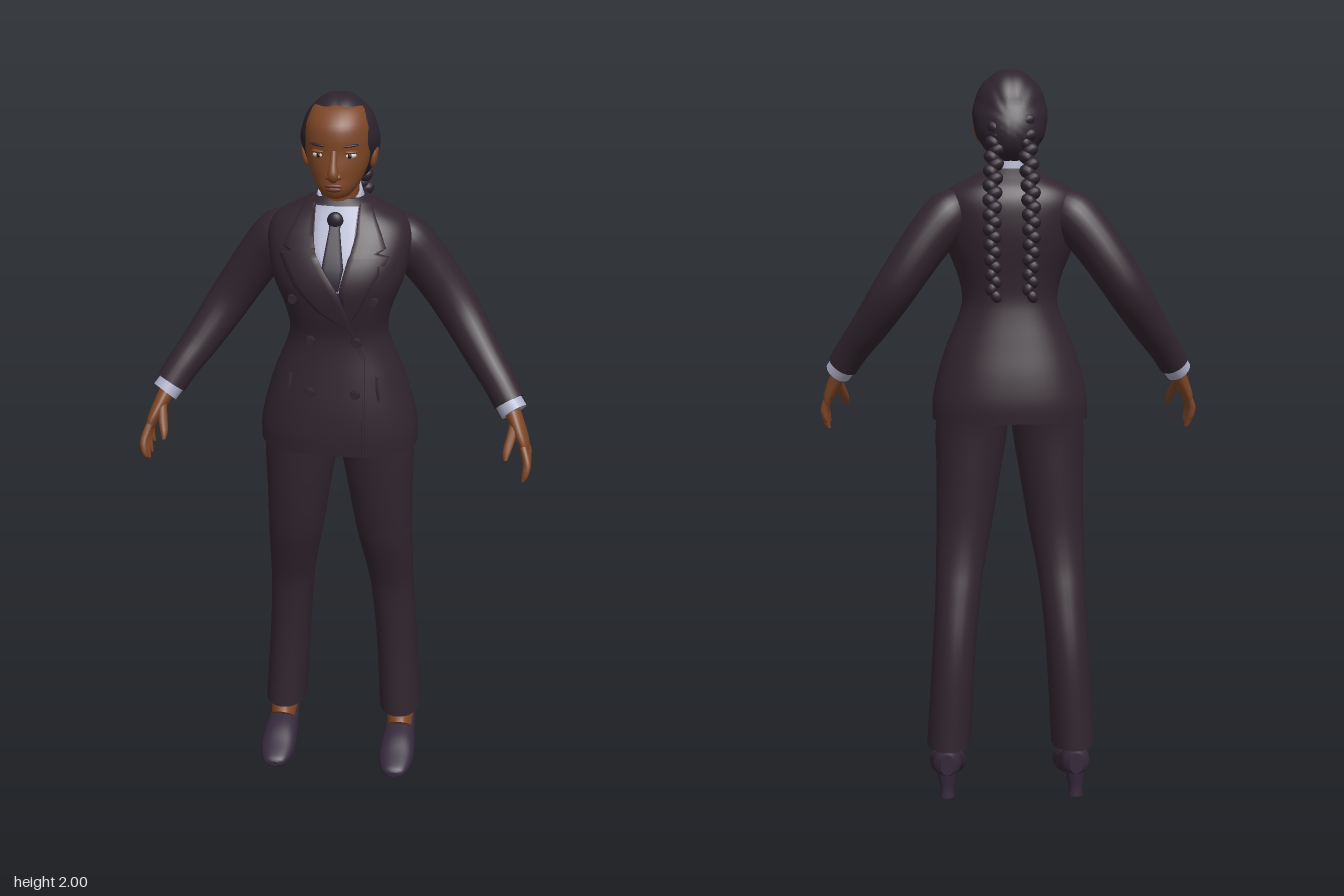
import * as THREE from 'three';

const mat = (name, color, side = THREE.FrontSide) =>
  Object.assign(new THREE.MeshStandardMaterial({ color, side }), { name });
const V = (x, y, z) => new THREE.Vector3(x, y, z);

// Catmull-Rom resampling of a table of section parameters
function smooth(rows, k = 5) {
  const out = [];
  for (let i = 0; i < rows.length - 1; i++) {
    const [a, b, c, d] = [-1, 0, 1, 2].map(o => rows[Math.min(Math.max(i + o, 0), rows.length - 1)]);
    for (let s = 0; s < k; s++) {
      const t = s / k;
      out.push(b.map((q, j) => q + 0.5 * t * (c[j] - a[j] + t * (2 * a[j] - 5 * q + 4 * c[j] - d[j]
        + t * (3 * (q - c[j]) + d[j] - a[j])))));
    }
  }
  out.push(rows[rows.length - 1]);
  return out;
}

// Closed skin through superellipse rings, each ring { c, u, v }
function loft(rings, p = 2, n = 28) {
  const pos = [], idx = [];
  const pw = q => Math.sign(q) * Math.abs(q) ** (2 / p);
  const ring = r => {
    for (let j = 0; j < n; j++) {
      const a = (j / n) * Math.PI * 2;
      pos.push(...r.c.clone().addScaledVector(r.u, pw(Math.cos(a))).addScaledVector(r.v, pw(Math.sin(a))).toArray());
    }
  };
  rings.forEach(ring);
  const last = rings[rings.length - 1];
  const ccw = rings[0].u.clone().cross(rings[0].v).dot(last.c.clone().sub(rings[0].c)) > 0;
  const tri = (a, b, c) => (ccw ? idx.push(a, b, c) : idx.push(a, c, b));
  for (let i = 0; i < rings.length - 1; i++) for (let j = 0; j < n; j++) {
    const a = i * n + j, b = i * n + (j + 1) % n;
    tri(a, b, a + n); tri(b, b + n, a + n);
  }
  [rings[0], last].forEach((r, e) => {
    const base = pos.length / 3;
    ring(r);
    pos.push(...r.c.toArray());
    for (let j = 0; j < n; j++) {
      const a = base + j, b = base + (j + 1) % n;
      e ? tri(a, b, base + n) : tri(b, a, base + n);
    }
  });
  const g = new THREE.BufferGeometry();
  g.setAttribute('position', new THREE.Float32BufferAttribute(pos, 3));
  g.setIndex(idx);
  g.computeVertexNormals();
  return g;
}

// Horizontal sections: [y, centre x, half width, front z, back z]
const level = rows => rows.map(([y, x, rx, f, b]) => ({ c: V(x, y, (f + b) / 2), u: V(rx, 0, 0), v: V(0, 0, (f - b) / 2) }));
// Sections square to their path: [x, y, z, radius, depth radius]
function limb(rows, n = 20) {
  const pts = rows.map(r => V(r[0], r[1], r[2]));
  return loft(rows.map((r, i) => {
    const t = pts[Math.min(i + 1, pts.length - 1)].clone().sub(pts[Math.max(i - 1, 0)]).normalize();
    const u = V(0, 0, 1).cross(t).normalize();
    return { c: pts[i], u: u.clone().multiplyScalar(r[3]), v: t.clone().cross(u).multiplyScalar(r[4] ?? r[3]) };
  }), 2, n);
}

// Jacket body sections, also used to lay details on the chest
const BODY_P = 2.3;
const body = smooth([
  [1.055, 0, .215, .148, -.138], [1.11, 0, .214, .152, -.142], [1.18, 0, .199, .15, -.135],
  [1.26, 0, .174, .141, -.12], [1.34, 0, .141, .132, -.106], [1.39, 0, .131, .132, -.102],
  [1.45, 0, .143, .146, -.109], [1.52, 0, .17, .156, -.121], [1.58, 0, .184, .144, -.128],
  [1.64, 0, .189, .112, -.127], [1.68, 0, .168, .086, -.113], [1.71, 0, .115, .066, -.09],
  [1.735, 0, .068, .045, -.068]]);
function frontZ(x, y) {
  let i = 0;
  while (i < body.length - 2 && body[i + 1][0] < y) i++;
  const t = Math.min(Math.max((y - body[i][0]) / (body[i + 1][0] - body[i][0]), 0), 1);
  const [, , rx, f, b] = body[i].map((q, j) => q + (body[i + 1][j] - q) * t);
  const k = Math.min(Math.abs(x) / rx, .97);
  return (f + b) / 2 + (f - b) / 2 * (1 - k ** BODY_P) ** (1 / BODY_P);
}
// Cloth sheet laid on the chest; rows from top to bottom: [y, x0, x1]
function patch(rows, off) {
  const pos = [], idx = [], m = 9, fine = [];
  for (let i = 0; i < rows.length - 1; i++) for (let k = 0; k < 5; k++)
    fine.push(rows[i].map((q, j) => q + (rows[i + 1][j] - q) * k / 5));
  fine.push(rows[rows.length - 1]);
  fine.forEach(([y, a, b], i) => {
    const [l, r] = a < b ? [a, b] : [b, a];
    for (let j = 0; j < m; j++) {
      const t = Math.min(Math.max((j - 1) / (m - 3), 0), 1), x = l + (r - l) * t;
      const edge = j === 0 || j === m - 1;
      pos.push(x, y, frontZ(x, y) + (edge ? -.002 : off));
      if (i && j) {
        const q = i * m + j;
        idx.push(q, q - m, q - 1, q - 1, q - m, q - m - 1);
      }
    }
  });
  const g = new THREE.BufferGeometry();
  g.setAttribute('position', new THREE.Float32BufferAttribute(pos, 3));
  g.setIndex(idx);
  g.computeVertexNormals();
  return g;
}

export function createModel() {
  const root = new THREE.Group();
  const suit = mat('suit', 0x31252e, THREE.DoubleSide), hairM = mat('hair', 0x2d232d);
  const skin = mat('skin', 0x7d4625), shirt = mat('shirt', 0xacaec6, THREE.DoubleSide);
  const tieM = mat('tie', 0x28212f, THREE.DoubleSide), shoeM = mat('shoe', 0x34283a);
  const white = mat('eyeWhite', 0xd0ccc8), dark = mat('iris', 0x21150f), lipM = mat('lips', 0x6b3426);
  const add = (name, geo, m) => {
    const o = new THREE.Mesh(geo, m);
    o.name = name;
    root.add(o);
    return o;
  };
  const blob = (name, m, c, s, seg = 16) => {
    const o = add(name, new THREE.SphereGeometry(1, seg, seg * .75), m);
    o.position.set(...c);
    o.scale.set(...s);
    return o;
  };

  // Head and neck
  add('head', loft(level(smooth([
    [1.748, 0, .022, .092, .03], [1.755, 0, .037, .108, .0], [1.775, 0, .053, .118, -.025],
    [1.80, 0, .067, .117, -.045], [1.83, 0, .078, .116, -.06], [1.865, 0, .085, .112, -.07],
    [1.90, 0, .087, .113, -.075], [1.935, 0, .082, .104, -.07], [1.97, 0, .062, .07, -.05],
    [1.985, 0, .02, .03, -.02]], 4))), skin);
  add('neck', limb([[0, 1.66, -.005, .052], [0, 1.74, .0, .05], [0, 1.81, .01, .054]]), skin);
  add('nose', limb(smooth([[0, 1.872, .106, .008], [0, 1.84, .12, .01], [0, 1.816, .126, .014],
    [0, 1.804, .118, .011]], 4), 14), skin);
  blob('upperLip', lipM, [0, 1.787, .115], [.024, .006, .007]);
  blob('lowerLip', lipM, [0, 1.778, .115], [.02, .007, .007]);

  // Braided hair cap, ridged from front to back and swept towards the nape
  const cap = new THREE.SphereGeometry(1, 72, 40), cp = cap.attributes.position;
  for (let i = 0; i < cp.count; i++) {
    const x = cp.getX(i), y = cp.getY(i), z = cp.getZ(i);
    const k = 1 + .018 * Math.abs(Math.sin(Math.atan2(x, y + .2) * 6)) * Math.min(1, 3 * Math.hypot(x, y));
    cp.setXYZ(i, x * k * .1, 1.877 + y * k * .121, .001 + z * k * .099 + (y < .2 ? (y - .2) * .045 : 0));
  }
  cap.computeVertexNormals();
  add('hairCap', cap, hairM);

  // Trunk of the jacket with shirt front and tie
  add('jacketBody', loft(level(body), BODY_P, 48), suit);
  add('shirtFront', patch([[1.72, -.055, .055], [1.62, -.05, .05], [1.52, .005, .02]], .003), shirt);
  add('tieBlade', patch([[1.70, -.016, .016], [1.67, -.014, .014], [1.58, -.026, .03], [1.525, .008, .018]], .007), tieM);
  blob('tieKnot', tieM, [0, 1.69, .085], [.021, .022, .014]);
  add('shirtCollar', loft([
    { c: V(0, 1.705, .004), u: V(.072, 0, 0), v: V(0, -.028, .066) },
    { c: V(0, 1.748, 0), u: V(.057, 0, 0), v: V(0, -.03, .057) }]), shirt);
  add('rightLapel', patch([[1.725, -.085, -.058], [1.66, -.118, -.056], [1.625, -.132, -.047], [1.615, -.112, -.045],
    [1.605, -.142, -.04], [1.53, -.098, .01], [1.47, -.04, .036], [1.42, .035, .046]], .011), suit);
  add('leftLapel', patch([[1.725, .085, .058], [1.66, .118, .056], [1.625, .132, .047], [1.615, .112, .045],
    [1.605, .142, .04], [1.53, .1, .02], [1.47, .07, .03], [1.44, .05, .035]], .007), suit);
  add('frontEdge', patch([[1.42, .04, .046], [1.33, .076, .083], [1.2, .08, .087], [1.06, .08, .087]], .005), suit);
  add('breastPocket', patch([[1.585, .115, .155], [1.567, .115, .155]], .007), suit);

  for (const s of [1, -1]) {
    const side = s > 0 ? 'left' : 'right';
    const flip = rows => rows.map(([x, ...r]) => [x * s, ...r]);

    // Face details
    blob(side + 'Ear', skin, [s * .089, 1.842, .008], [.01, .031, .019]).rotation.set(-.2, 0, -s * .15);
    blob(side + 'Nostril', skin, [s * .012, 1.81, .115], [.009, .008, .011]);
    blob(side + 'Eye', white, [s * .04, 1.861, .097], [.016, .007, .009]).rotation.y = s * .3;
    blob(side + 'Iris', dark, [s * .039, 1.861, .103], [.006, .0062, .0045]);
    blob(side + 'UpperLid', skin, [s * .04, 1.87, .097], [.019, .005, .011]).rotation.y = s * .3;
    blob(side + 'Eyebrow', hairM, [s * .041, 1.886, .1], [.022, .0035, .006]).rotation.set(0, s * .35, s * .08);

    // Braid hanging down the back
    const path = new THREE.CatmullRomCurve3([[.035, 1.86, -.088], [.045, 1.77, -.096], [.05, 1.69, -.116],
      [.052, 1.57, -.14], [.048, 1.4, -.147]].map(q => V(q[0] * s, q[1], q[2])));
    for (let i = 0; i <= 24; i++) {
      const t = i / 24, q = path.getPointAt(t), r = .023 - .009 * t * t;
      const w = i % 2 ? 1 : -1;
      blob(side + 'Braid', hairM, [q.x + w * .006, q.y, q.z], [r, .018, r * .85], 12).rotation.z = w * .5;
    }

    // Sleeve, shirt cuff and hand
    add(side + 'Sleeve', limb(smooth(flip([[.12, 1.645, -.035, .045], [.165, 1.613, -.045, .066],
      [.22, 1.55, -.06, .064], [.28, 1.465, -.069, .06], [.327, 1.395, -.06, .057], [.385, 1.31, -.02, .05],
      [.43, 1.25, .017, .045], [.463, 1.2, .043, .043]])), 24), suit);
    add(side + 'Cuff', limb(flip([[.45, 1.215, .035, .037], [.478, 1.178, .058, .037]])), shirt);
    add(side + 'Palm', limb(smooth(flip([[.465, 1.195, .047, .022, .025], [.487, 1.15, .07, .02, .033],
      [.506, 1.11, .089, .016, .039], [.512, 1.088, .095, .011, .037]]), 4)), skin);
    for (let i = 0; i < 4; i++) {
      const z = .066 + i * .019, len = [.062, .08, .085, .07][i];
      add(side + 'Finger', limb(smooth(flip([[.508, 1.105, z, .01], [.52, 1.1 - len * .45, z + .004 + i * .006, .0105],
        [.517, 1.1 - len * .85, z + .006 + i * .009, .009], [.511, 1.1 - len * 1.08, z + .006 + i * .01, .004]]), 3), 10), skin);
    }
    add(side + 'Thumb', limb(smooth(flip([[.482, 1.16, .075, .012], [.474, 1.125, .108, .013],
      [.465, 1.095, .136, .011], [.463, 1.075, .15, .005]]), 3), 10), skin);

    // Trouser leg, rows as level sections
    add(side + 'TrouserLeg', loft(level(smooth([
      [1.14, .095, .095, .12, -.12], [1.03, .106, .1, .111, -.1], [.9, .116, .089, .097, -.094],
      [.76, .128, .078, .073, -.091], [.66, .139, .069, .042, -.1], [.57, .147, .063, .017, -.12],
      [.45, .156, .06, .007, -.145], [.33, .164, .06, .005, -.157], [.14, .175, .061, .017, -.161]])
      .map(([y, x, ...r]) => [y, x * s, ...r])), 2.1), suit);

    // Ankle and heeled shoe, shoe rows: [z, underside, top, half width]
    add(side + 'Ankle', limb([[s * .178, .2, -.075, .042, .05], [s * .179, .12, -.055, .04, .055],
      [s * .18, .085, -.02, .036, .05]]), skin);
    add(side + 'Shoe', loft(smooth([[.142, .012, .028, .014], [.13, .005, .04, .034], [.085, 0, .062, .05],
      [.035, .002, .088, .052], [-.03, .028, .106, .046], [-.09, .055, .13, .041], [-.13, .06, .137, .037],
      [-.15, .07, .13, .018]]).map(([z, a, b, r]) =>
      ({ c: V(s * .18, (a + b) / 2, z), u: V(r, 0, 0), v: V(0, (b - a) / 2, 0) })), 2.3), shoeM);
    add(side + 'Heel', loft(level(smooth([[0, s * .18, .021, -.098, -.142], [.03, s * .18, .02, -.097, -.141],
      [.085, s * .18, .033, -.075, -.148]], 4)), 2.4), shoeM);

    // Pocket flap and buttons
    add(side + 'PocketFlap', patch([[1.28, s * .112, s * .162], [1.25, s * .113, s * .172], [1.215, s * .12, s * .182]], .01), suit);
    for (const [x, y] of [[.06, 1.375], [.06, 1.235], [.105, 1.49]]) {
      const b = add(side + 'Button', new THREE.CylinderGeometry(.011, .014, .012, 16), suit);
      b.rotation.x = Math.PI / 2;
      b.position.set(s * x, y, frontZ(x, y) + .005);
    }
  }
  return root;
}
